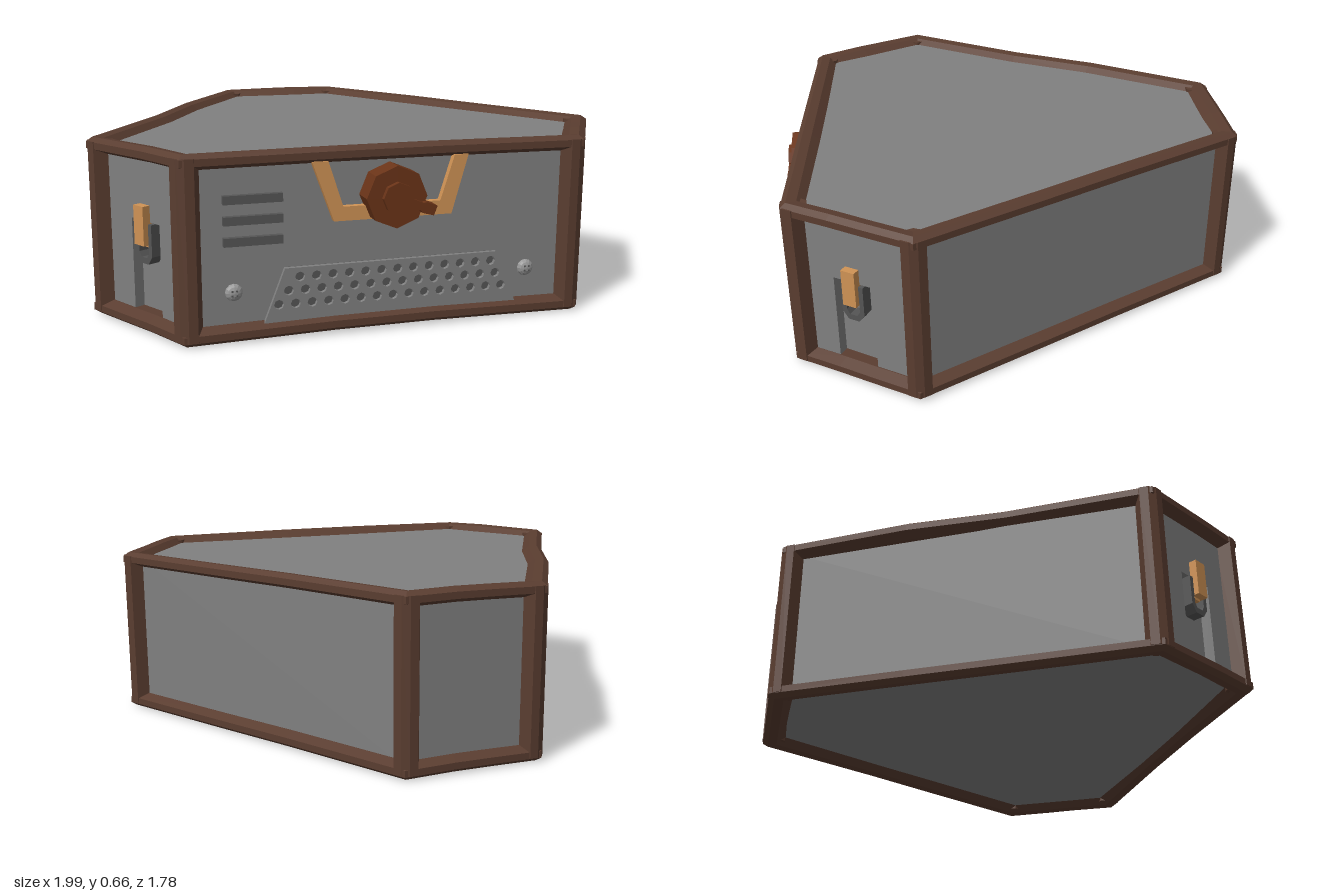
import * as THREE from 'three';

const V = (x, y) => new THREE.Vector2(x, y);
const mat = (color) => new THREE.MeshStandardMaterial({ color, flatShading: true });
const GREY = mat(0x808080), DARK = mat(0x555555), WOOD = mat(0x5a3d30);
const RUST = mat(0x6b3418), COPPER = mat(0xd09355), STEEL = mat(0x999999);

// Footprint corners (x, z) and their inward mitre vectors
const HEX = [[-0.73, 0.83], [0.73, 0.83], [1, 0.37], [0.27, -0.89], [-0.27, -0.89], [-1, 0.37]].map(p => V(...p));
const at = (i) => HEX[(i + 6) % 6];
const dirTo = (i, j) => at(j).clone().sub(at(i)).normalize();
const MITRE = HEX.map((p, i) => {
  const a = dirTo(i, i - 1), b = dirTo(i, i + 1);
  const sin = Math.abs(a.cross(b)); // unit inset along both edges
  return a.add(b).divideScalar(sin);
});
const inset = (i, d) => at(i).clone().addScaledVector(MITRE[(i + 6) % 6], d);

function add(parent, name, geometry, material, x = 0, y = 0, z = 0) {
  const m = new THREE.Mesh(geometry, material);
  m.name = name;
  m.position.set(x, y, z);
  parent.add(m);
  return m;
}

// Flat plate facing +z
function plate(points, depth, holes = []) {
  const s = new THREE.Shape(points.map(p => V(...p)));
  s.holes = holes.map(h => new THREE.Path(h.map(p => V(...p))));
  return new THREE.ExtrudeGeometry(s, { depth, bevelEnabled: false });
}

// Upright prism from a plan outline in (x, z)
function prism(points, y0, y1) {
  const g = plate(points.map(p => [p.x, -p.y]), y1 - y0);
  return g.rotateX(-Math.PI / 2).translate(0, y0, 0);
}

// Chamfered beam swept round the footprint, slightly uneven along its edges
function beamRing(top) {
  const section = [[0, 0.645], [0, 0.62], [0.04, 0.602], [0.09, 0.602], [0.09, 0.627], [0.055, 0.655], [0.02, 0.66]];
  const pos = [], idx = [], n = section.length;
  const stations = [];
  for (let e = 0; e < 6; e++) {
    [0, 0.36, 0.62].forEach((t, k) => {
      const mid = k > 0;
      let dd = 0.003, dy = mid ? 0.002 * Math.sin(e * 2.3 + k) : -0.002;
      if (e === 4 && top && mid) dd = k === 1 ? -0.012 : 0.012;
      if (e === 0 && !top && mid) dy = 0.008;
      stations.push({ e, t, dd, dy });
    });
  }
  for (const { e, t, dd, dy } of stations) {
    for (const [d, h] of section) {
      const p = inset(e, d + dd).lerp(inset(e + 1, d + dd), t);
      pos.push(p.x, (top ? h : 0.66 - h) + dy, p.y);
    }
  }
  const m = stations.length;
  for (let i = 0; i < m; i++) for (let j = 0; j < n; j++) {
    const a = i * n + j, b = i * n + (j + 1) % n;
    const c = ((i + 1) % m) * n + (j + 1) % n, d = ((i + 1) % m) * n + j;
    if (top) idx.push(a, b, c, a, c, d);
    else idx.push(a, c, b, a, d, c);
  }
  const g = new THREE.BufferGeometry();
  g.setAttribute('position', new THREE.Float32BufferAttribute(pos, 3));
  g.setIndex(idx);
  g.computeVertexNormals();
  return g;
}

// Corner post with chamfered edges wrapping both neighbouring walls
function post(i) {
  const a = dirTo(i, i - 1), b = dirTo(i, i + 1), p = at(i);
  const along = (u, d, dd) => p.clone().addScaledVector(d, u).addScaledVector(MITRE[i], dd);
  return prism([along(0.045, a, 0.055), along(0.05, a, 0), along(0.018, a, 0), along(0.018, b, 0),
    along(0.05, b, 0), along(0.045, b, 0.055), along(0, a, 0.09)], 0.015, 0.645);
}

// Angled side wall with a recessed track and a latch; side is +1 or -1
function sideWall(side) {
  const g = new THREE.Group();
  g.name = side > 0 ? 'leftLatchWall' : 'rightLatchWall';
  g.position.set(side * 0.826, 0, 0.577);
  g.rotation.y = side * Math.PI / 3;
  const c = -side * 0.015, w = 0.08;
  add(g, 'wallPanel', plate(
    [[-0.24, 0.03], [0.24, 0.03], [0.24, 0.63], [-0.24, 0.63]], 0.04,
    [[[c - w, 0.04], [c - w, 0.39], [c + w, 0.39], [c + w, 0.04]]]), GREY, 0, 0, -0.04);
  add(g, 'latchHolder', plate([[-0.045, 0.385], [-0.045, 0.27], [-0.022, 0.24], [0.022, 0.24], [0.045, 0.27],
    [0.045, 0.385], [0.027, 0.385], [0.027, 0.28], [0.015, 0.262], [-0.015, 0.262], [-0.027, 0.28], [-0.027, 0.385]],
  0.045), DARK, c, 0, -0.035);
  add(g, 'latchBar', new THREE.BoxGeometry(0.054, 0.14, 0.035), COPPER, c, 0.38, 0.012);
  add(g, 'latchTongue', new THREE.BoxGeometry(0.03, 0.07, 0.03), COPPER, c, 0.335, -0.012);
  return g;
}

export function createModel() {
  const root = new THREE.Group();
  root.name = 'cabinet';

  // Body core, set back behind the latch walls
  const body = HEX.map((_, i) => inset(i, 0.045));
  body[0].x += 0.046;
  body[1].x -= 0.046;
  body[2].addScaledVector(dirTo(2, 3), 0.046);
  body[5].addScaledVector(dirTo(5, 4), 0.046);
  add(root, 'body', prism(body, 0.03, 0.632), GREY);
  root.add(sideWall(1), sideWall(-1));

  // Frame
  add(root, 'topFrame', beamRing(true), WOOD);
  add(root, 'bottomFrame', beamRing(false), WOOD);
  for (let i = 0; i < 6; i++) add(root, 'cornerPost', post(i), WOOD);

  const front = new THREE.Group();
  front.name = 'frontPanel';
  front.position.z = 0.785;
  root.add(front);

  // Vent slats
  for (const y of [0.495, 0.423, 0.35]) {
    add(front, 'ventSlat', new THREE.BoxGeometry(0.205, 0.03, 0.03), DARK, -0.482, y, 0.005);
  }

  // Perforated grille over a dark backing
  const outline = [[-0.45, 0.05], [0.49, 0.05], [0.41, 0.245], [-0.375, 0.245]];
  const holes = [];
  [[-0.322, 0.212, 13], [-0.362, 0.165, 14], [-0.397, 0.117, 15]].forEach(([x0, y, n]) => {
    for (let k = 0; k < n; k++) {
      const hole = [];
      for (let s = 0; s < 8; s++) {
        const a = -s * Math.PI / 4;
        hole.push([x0 + k * 0.0592 + 0.0175 * Math.cos(a), y + 0.0175 * Math.sin(a)]);
      }
      holes.push(hole);
    }
  });
  add(front, 'grille', plate(outline, 0.016, holes), GREY, 0, 0, 0.002);
  add(front, 'grilleBacking', plate(outline.map(([x, y]) => [x * 0.98, y]), 0.003), DARK);

  // Domed screws with small drive holes
  for (const x of [-0.55, 0.535]) {
    const dome = new THREE.SphereGeometry(0.031, 12, 4, 0, Math.PI * 2, 0, Math.PI / 2);
    dome.rotateX(Math.PI / 2).scale(1, 1, 0.6);
    add(front, 'screw', dome, STEEL, x, 0.17, 0);
    for (const [u, v] of [[1, 1], [1, -1], [-1, 1], [-1, -1]]) {
      add(front, 'screwHole', new THREE.BoxGeometry(0.006, 0.006, 0.004), DARK, x + u * 0.008, 0.17 + v * 0.008, 0.017);
    }
  }

  // Copper bracket behind the dial
  add(front, 'bracket', plate([[-0.28, 0.61], [-0.203, 0.4], [0.228, 0.4], [0.287, 0.61],
    [0.235, 0.61], [0.185, 0.45], [-0.17, 0.45], [-0.223, 0.61]], 0.025), COPPER);

  // Octagonal dial with hub and lever
  const dial = new THREE.Group();
  dial.name = 'dial';
  dial.position.set(0.003, 0.485, 0);
  front.add(dial);
  const disc = (r, d) => new THREE.CylinderGeometry(r, r, d, 8).rotateX(Math.PI / 2);
  add(dial, 'dialBody', disc(0.109, 0.085), RUST, 0, 0, 0.0425);
  add(dial, 'dialHub', disc(0.055, 0.03), RUST, 0, 0, 0.09);
  const lever = add(dial, 'lever', plate([[0.02, -0.016], [0.09, -0.016], [0.1, -0.022], [0.142, -0.018],
    [0.142, 0.018], [0.1, 0.018], [0.09, 0.012], [0.02, 0.016]], 0.05), RUST, 0, 0, 0.055);
  lever.rotation.z = -0.36;

  return root;
}
